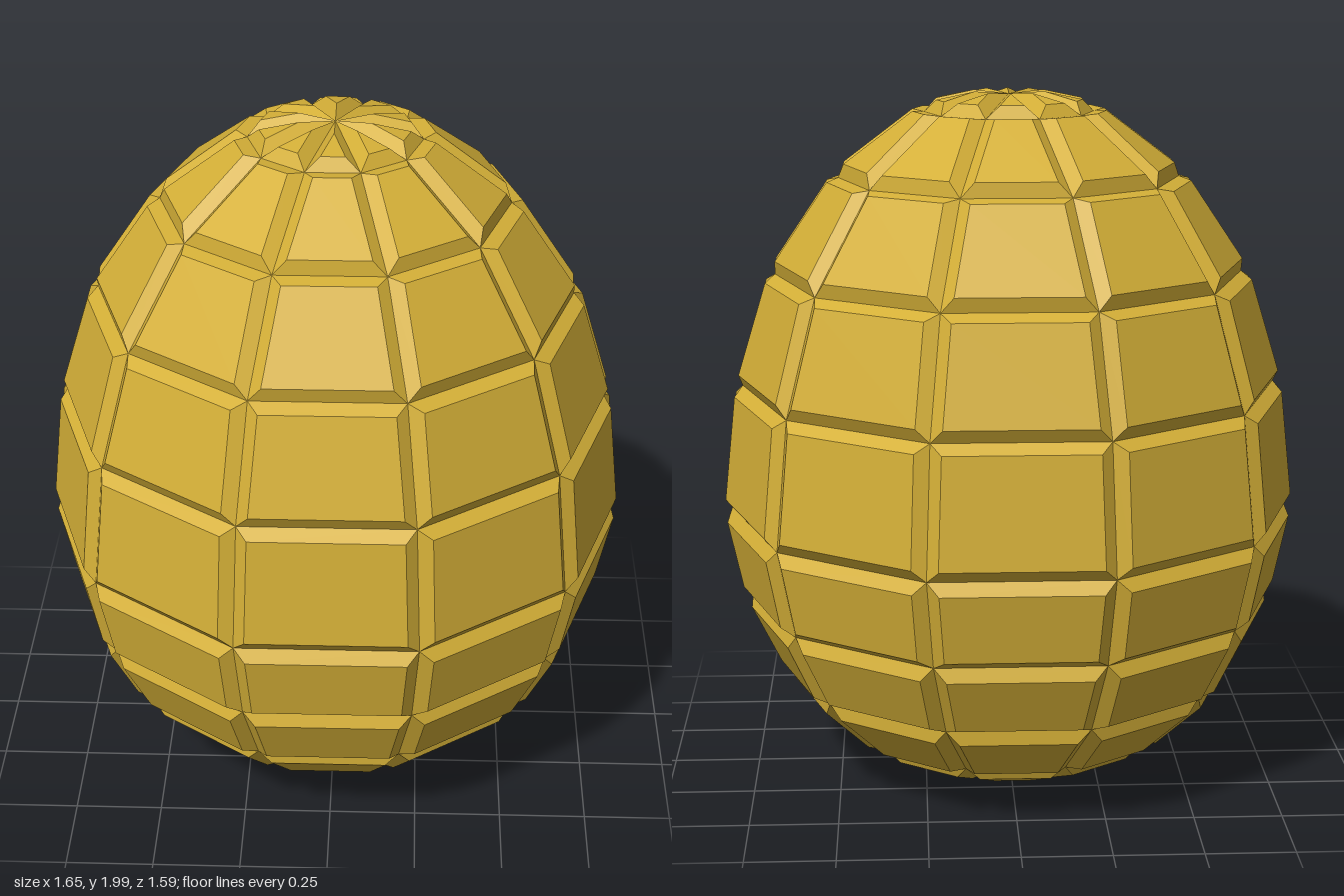
import * as THREE from 'three';

const SIDES = 10;
const BEVEL = 0.03;  // width of the bevel round each panel
const RAISE = 0.03;  // height of a panel above the grooves

// Groove rings from bottom pole to top pole: [radius, y]
const RINGS = [
  [0, 0.02], [0.24, 0.04], [0.455, 0.13], [0.645, 0.31], [0.755, 0.53], [0.81, 0.785],
  [0.77, 1.15], [0.67, 1.475], [0.485, 1.75], [0.24, 1.935], [0, 1.985],
];

const ringPoint = (ring, side) => {
  const a = (side / SIDES) * Math.PI * 2;
  return new THREE.Vector3(ring[0] * Math.cos(a), ring[1], ring[0] * Math.sin(a));
};

// Raise an inset copy of a flat polygon, joined to its outline by bevels
function addPanel(positions, outline) {
  const n = outline.length;
  const sub = (a, b) => new THREE.Vector3().subVectors(a, b);
  const normal = sub(outline[1], outline[0]).cross(sub(outline[2], outline[0])).normalize();
  const inset = outline.map((p, i) => {
    const u = sub(p, outline[(i + n - 1) % n]).normalize();
    const v = sub(outline[(i + 1) % n], p).normalize();
    const sine = u.clone().cross(v).length();
    return p.clone().addScaledVector(sub(v, u), BEVEL / sine).addScaledVector(normal, RAISE);
  });
  const tri = (...pts) => pts.forEach((p) => positions.push(p.x, p.y, p.z));
  for (let i = 1; i < n - 1; i++) tri(inset[0], inset[i], inset[i + 1]);
  for (let i = 0; i < n; i++) {
    const j = (i + 1) % n;
    tri(outline[i], outline[j], inset[j]);
    tri(outline[i], inset[j], inset[i]);
  }
}

export function createModel() {
  const group = new THREE.Group();
  group.name = 'panelledEgg';
  const material = new THREE.MeshStandardMaterial({ color: 0xd4af37, flatShading: true });

  // One mesh per band of panels; the bands at the poles are triangles
  for (let r = 0; r < RINGS.length - 1; r++) {
    const low = RINGS[r], high = RINGS[r + 1];
    const positions = [];
    for (let s = 0; s < SIDES; s++) {
      const outline = [ringPoint(low, s), ringPoint(high, s)];
      if (high[0] > 0) outline.push(ringPoint(high, s + 1));
      if (low[0] > 0) outline.push(ringPoint(low, s + 1));
      addPanel(positions, outline);
    }
    const geometry = new THREE.BufferGeometry();
    geometry.setAttribute('position', new THREE.Float32BufferAttribute(positions, 3));
    geometry.computeVertexNormals();
    const band = new THREE.Mesh(geometry, material);
    band.name = `panelBand${r + 1}`;
    group.add(band);
  }
  return group;
}
